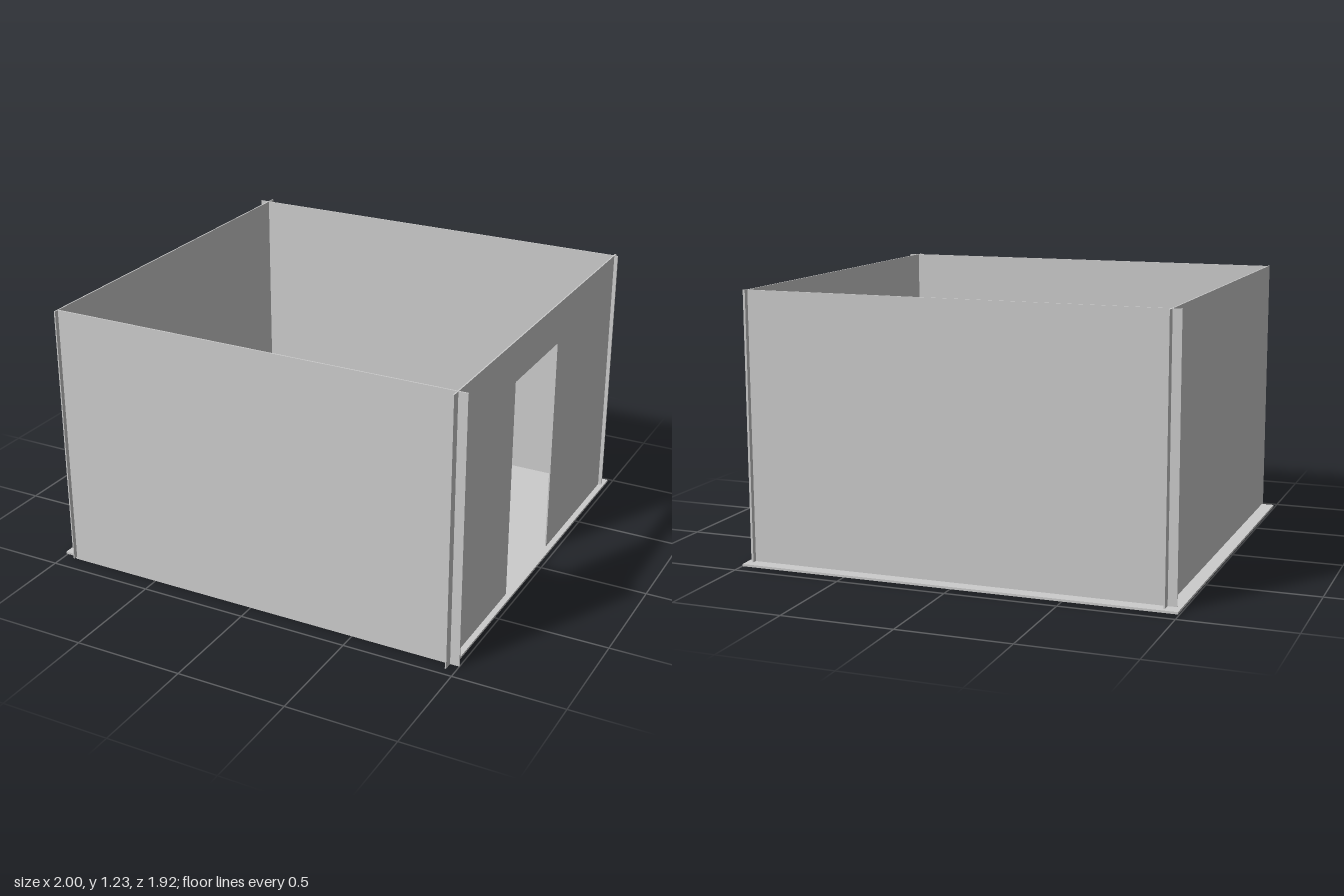
import * as THREE from 'three';

const HEIGHT = 1.23;
const THICK = 0.006;

export function createModel() {
  const room = new THREE.Group();
  room.name = 'room';
  const grey = new THREE.MeshStandardMaterial({ color: 0xcccccc });
  grey.name = 'plain grey';

  // Box given by its lower and upper corners
  const slab = (name, [x0, y0, z0], [x1, y1, z1]) => {
    const mesh = new THREE.Mesh(new THREE.BoxGeometry(x1 - x0, y1 - y0, z1 - z0), grey);
    mesh.position.set((x0 + x1) / 2, (y0 + y1) / 2, (z0 + z1) / 2);
    mesh.name = name;
    room.add(mesh);
  };

  // Thin floor, sticking out past the left, back and door walls
  slab('floor', [-1, 0.008, -0.96], [0.985, 0.018, 0.914]);

  // Plain walls, each running a little past the corners
  slab('frontWall', [-0.94, 0, 0.914], [1, HEIGHT, 0.914 + THICK]);
  slab('backWall', [-0.98, 0.012, -0.898], [0.975, HEIGHT, -0.898 + THICK]);
  slab('leftWall', [-0.94, 0.012, -0.94], [-0.94 + THICK, HEIGHT, 0.94]);

  // Door wall: outline in (-z, y) with a doorway open at the bottom
  const outline = [
    [-0.96, 0], [-0.32, 0], [-0.32, 1.04], [0.17, 1.04],
    [0.17, 0], [0.92, 0], [0.92, HEIGHT], [-0.96, HEIGHT],
  ].map(([u, y]) => new THREE.Vector2(u, y));
  const geometry = new THREE.ExtrudeGeometry(new THREE.Shape(outline), { depth: THICK, bevelEnabled: false });
  const doorWall = new THREE.Mesh(geometry, grey);
  doorWall.rotation.y = Math.PI / 2;
  doorWall.position.x = 0.952;
  doorWall.name = 'doorWall';
  room.add(doorWall);

  return room;
}
